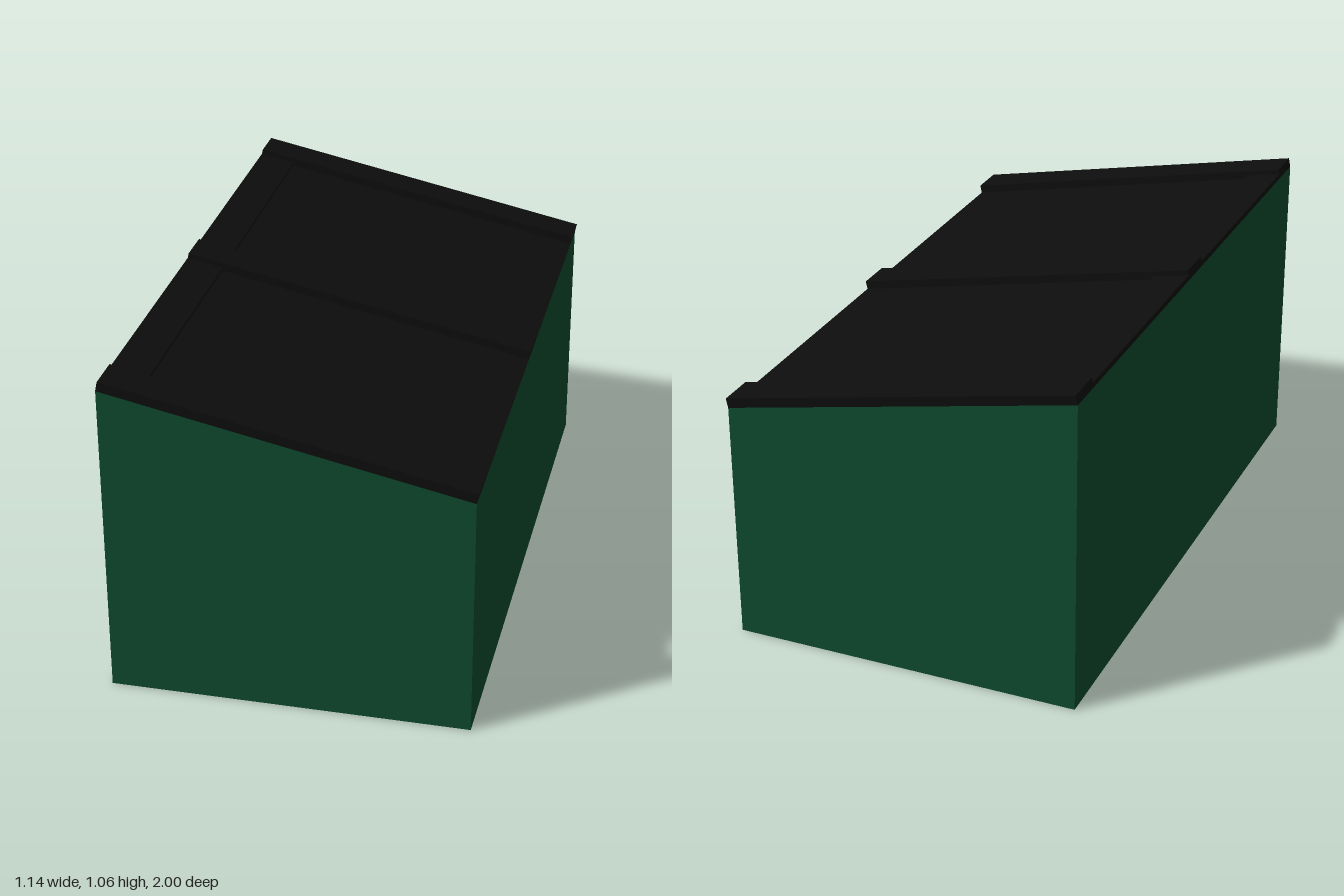
import * as THREE from 'three';

const LEFT = -0.57, RIGHT = 0.564, HIGH = 1.025, LOW = 0.79, DEPTH = 2;

export function createModel() {
  const green = new THREE.MeshStandardMaterial({ color: 0x0e4b2e });
  green.name = 'dark green';
  const black = new THREE.MeshStandardMaterial({ color: 0x0d0d0d });
  black.name = 'black';

  const model = new THREE.Group();
  model.name = 'slopedStorageBox';

  // Body: a sloped side profile extruded along z
  const profile = new THREE.Shape([
    new THREE.Vector2(LEFT, 0),
    new THREE.Vector2(RIGHT, 0),
    new THREE.Vector2(RIGHT, LOW),
    new THREE.Vector2(LEFT, HIGH),
  ]);
  const bodyGeometry = new THREE.ExtrudeGeometry(profile, { depth: DEPTH, bevelEnabled: false });
  bodyGeometry.translate(0, 0, -DEPTH / 2);
  const body = new THREE.Mesh(bodyGeometry, green);
  body.name = 'body';
  model.add(body);

  // Lid: local x runs down the slope from the high edge, local y is its thickness
  const lid = new THREE.Group();
  lid.name = 'lid';
  lid.position.set(LEFT, HIGH, 0);
  lid.rotation.z = Math.atan2(LOW - HIGH, RIGHT - LEFT);
  model.add(lid);
  const slope = Math.hypot(RIGHT - LEFT, HIGH - LOW);

  function addBoard(name, length, thickness, width, z) {
    const board = new THREE.Mesh(new THREE.BoxGeometry(length, thickness, width), black);
    board.name = name;
    board.position.set(length / 2, thickness / 2, z);
    lid.add(board);
  }

  // Thin panels and high-edge rails in the two bays between the battens
  for (const side of [-1, 1]) {
    addBoard('lidPanel', slope, 0.004, 0.82, side * 0.47);
    addBoard('topRail', 0.12, 0.015, 0.82, side * 0.47);
  }

  // Raised battens down the slope
  for (const z of [-0.94, 0, 0.94]) addBoard('batten', slope, 0.031, 0.12, z);

  return model;
}
